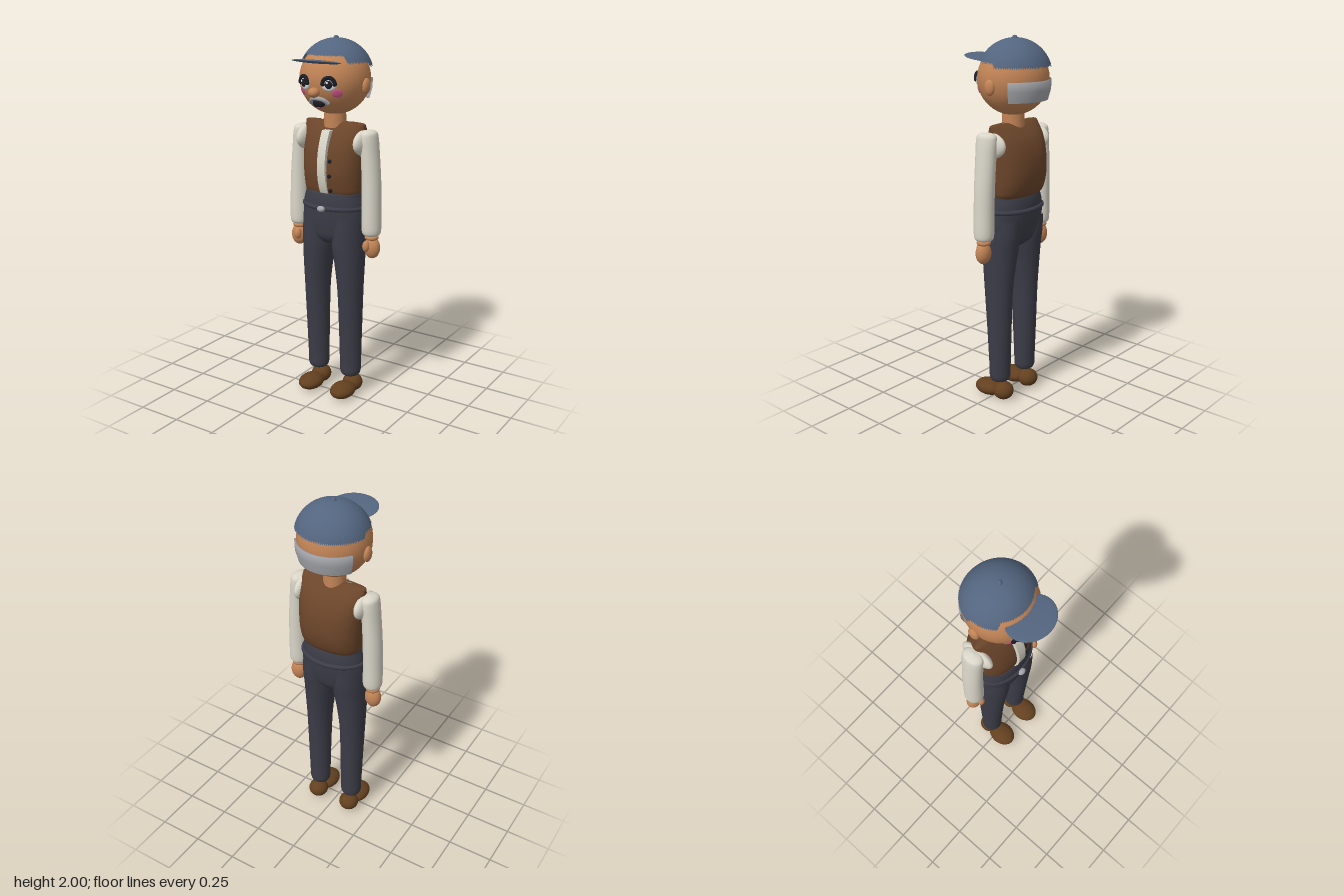
import * as THREE from 'three';

const mat = (name, color, side = THREE.FrontSide) => {
  const m = new THREE.MeshStandardMaterial({ color, side });
  m.name = name;
  return m;
};

export function createModel() {
  const M = {
    skin: mat('skin', 0xc28456),
    cap: mat('cap blue', 0x53657f, THREE.DoubleSide),
    shirt: mat('shirt cream', 0xd9d5c8),
    vest: mat('vest brown', 0x6b452a),
    pants: mat('trouser charcoal', 0x3c3c48),
    shoe: mat('shoe brown', 0x63401f),
    grey: mat('grey', 0xa3a5aa, THREE.DoubleSide),
    pink: mat('pink', 0xd0568c),
    black: mat('black', 0x1b1d24),
    white: mat('eye white', 0xeceef0),
  };
  const root = new THREE.Group();
  root.name = 'standingMan';

  const add = (name, geo, material, parent = root) => {
    const m = new THREE.Mesh(geo, material);
    m.name = name;
    parent.add(m);
    return m;
  };
  const ball = (name, material, [x, y, z], [rx, ry, rz], parent = root) => {
    const m = add(name, new THREE.SphereGeometry(1, 32, 20), material, parent);
    m.position.set(x, y, z);
    m.scale.set(rx, ry, rz);
    return m;
  };

  // Smooth loft through levels [y, centreX, centreZ, radiusX, radiusZ], bottom to top
  const loft = (levels, power = 2, seg = 40, steps = 4) => {
    const mid = new THREE.CatmullRomCurve3(levels.map(l => new THREE.Vector3(l[1], l[0], l[2])), false, 'catmullrom');
    const rad = new THREE.CatmullRomCurve3(levels.map(l => new THREE.Vector3(l[3], 0, l[4])), false, 'catmullrom');
    const n = (levels.length - 1) * steps, pos = [], idx = [];
    const pw = v => Math.sign(v) * Math.abs(v) ** (2 / power);
    for (let j = 0; j <= n; j++) {
      const c = mid.getPoint(j / n), r = rad.getPoint(j / n);
      for (let i = 0; i < seg; i++) {
        const a = (i / seg) * Math.PI * 2;
        pos.push(c.x + Math.max(r.x, 0.0005) * pw(Math.cos(a)), c.y, c.z + Math.max(r.z, 0.0005) * pw(Math.sin(a)));
        if (j < n) {
          const p = j * seg + i, q = j * seg + (i + 1) % seg;
          idx.push(p, p + seg, q, q, p + seg, q + seg);
        }
      }
    }
    const g = new THREE.BufferGeometry();
    g.setAttribute('position', new THREE.Float32BufferAttribute(pos, 3));
    g.setIndex(idx);
    g.computeVertexNormals();
    return g;
  };

  // Head, neck and ears
  const HC = new THREE.Vector3(0, 1.78, -0.045), HR = 0.188;
  ball('head', M.skin, HC.toArray(), [HR, HR, HR]);
  const neck = add('neck', new THREE.CylinderGeometry(0.057, 0.06, 0.12, 32), M.skin);
  neck.position.set(0, 1.585, -0.045);
  ball('nose', M.skin, [0, 1.725, 0.155], [0.03, 0.026, 0.03]);

  // A group lying on the face, its +z pointing straight out of the head
  const onFace = (name, x, y) => {
    const g = new THREE.Group();
    const dx = x - HC.x, dy = y - HC.y;
    g.name = name;
    g.position.set(x, y, HC.z + Math.sqrt(HR * HR - dx * dx - dy * dy));
    g.lookAt(g.position.clone().multiplyScalar(2).sub(HC));
    root.add(g);
    return g;
  };

  for (const s of [1, -1]) {
    const side = s > 0 ? 'left' : 'right';
    ball(side + 'Ear', M.skin, [s * 0.188, 1.75, -0.047], [0.019, 0.041, 0.031]);

    // Eye with heavy dark lid
    const eye = onFace(side + 'Eye', s * 0.073, 1.772);
    ball('eyeball', M.white, [0, -0.002, 0], [0.041, 0.036, 0.011], eye);
    ball('pupil', M.black, [0, -0.004, 0.008], [0.02, 0.021, 0.008], eye);
    ball('glint', M.white, [-0.007, 0.006, 0.016], [0.006, 0.006, 0.003], eye);
    const lid = add('lid', new THREE.TorusGeometry(0.031, 0.011, 12, 32, Math.PI), M.black, eye);
    lid.position.set(0, -0.001, 0.006);
    for (const e of [1, -1]) ball('lidEnd', M.black, [e * 0.031, -0.001, 0.006], [0.012, 0.012, 0.011], eye);

    const cheek = onFace(side + 'Cheek', s * 0.106, 1.722);
    ball('blush', M.pink, [0, 0, 0], [0.026, 0.022, 0.004], cheek);
  }

  // Mouth and moustache
  ball('mouth', M.black, [0, 1.668, 0.108], [0.036, 0.026, 0.022]);
  ball('lowerLip', M.pink, [0, 1.648, 0.104], [0.024, 0.01, 0.018]);
  const arch = new THREE.CatmullRomCurve3([[-0.052, 1.668, 0.104], [-0.035, 1.686, 0.122], [0, 1.694, 0.136],
    [0.035, 1.686, 0.122], [0.052, 1.668, 0.104]].map(p => new THREE.Vector3(...p)));
  add('moustache', new THREE.TubeGeometry(arch, 28, 0.011, 12), M.grey);
  for (const s of [1, -1]) ball('moustacheTip', M.grey, [s * 0.052, 1.668, 0.104], [0.011, 0.011, 0.011]);

  // Hair band round the back of the head
  const band = [[0.18, -0.105], [0.167, -0.105], [0.172, 0], [0.197, 0], [0.195, -0.05], [0.18, -0.105]];
  const hair = add('hairBand', new THREE.LatheGeometry(band.map(p => new THREE.Vector2(...p)), 40, Math.PI - 1.02, 2.04), M.grey);
  hair.position.copy(HC);

  // Cap dome with a stepped rim: high at the brow, low at the back
  const dome = new THREE.SphereGeometry(1, 128, 20);
  const p = dome.attributes.position, nrm = dome.attributes.normal, uv = dome.attributes.uv;
  const [rx, ry, rz, cy] = [0.199, 0.191, 0.19, 1.797];
  const nv = new THREE.Vector3();
  for (let i = 0; i < p.count; i++) {
    const a = uv.getX(i) * Math.PI * 2, x = -Math.cos(a), z = Math.sin(a);
    const turn = Math.abs(Math.atan2(x, z));
    const rim = 1.902 - 0.038 * THREE.MathUtils.smoothstep(turn, 0.76, 0.9) - 0.022 * THREE.MathUtils.smoothstep(turn, 1.6, 1.72);
    const polar = (1 - uv.getY(i)) * Math.acos((rim - cy) / ry);
    const sn = Math.sin(polar), cs = Math.cos(polar);
    p.setXYZ(i, x * sn * rx, cs * ry, z * sn * rz);
    nv.set(x * sn / rx, cs / ry, z * sn / rz).normalize();
    nrm.setXYZ(i, nv.x, nv.y, nv.z);
  }
  add('capDome', dome, M.cap).position.set(0, cy, -0.055);
  ball('capButton', M.cap, [0, 1.986, -0.053], [0.014, 0.014, 0.014]);
  ball('capVisor', M.cap, [0, 1.878, 0.132], [0.13, 0.009, 0.116]).rotation.x = -0.14;

  // Vest: levels given as [y, halfWidth, front z, back z]
  const body = rows => rows.map(([y, w, f, b]) => [y, 0, (f + b) / 2, w, (f - b) / 2]);
  add('vest', loft(body([
    [1.16, 0.10, 0.02, -0.12], [1.175, 0.16, 0.055, -0.16], [1.22, 0.173, 0.07, -0.185], [1.3, 0.178, 0.079, -0.198],
    [1.4, 0.182, 0.066, -0.187], [1.48, 0.185, 0.036, -0.153], [1.535, 0.184, -0.002, -0.1],
    [1.555, 0.175, -0.025, -0.068], [1.557, 0.1, -0.04, -0.05],
  ]), 2.5, 56), M.vest);

  // Shirt front: curved strip down the chest
  const strip = new THREE.Shape();
  strip.moveTo(0.0, 1.515);
  strip.lineTo(0.045, 1.515);
  strip.bezierCurveTo(0.1, 1.42, 0.115, 1.28, 0.062, 1.175);
  strip.lineTo(0.0, 1.175);
  strip.closePath();
  const stripGeo = new THREE.ExtrudeGeometry(strip, { depth: 0.048, bevelEnabled: false, curveSegments: 20 });
  stripGeo.rotateY(-Math.PI / 2);
  add('shirtFront', stripGeo, M.shirt).position.x = 0.024;

  for (const [y, z] of [[1.36, 0.074], [1.28, 0.079], [1.2, 0.066]])
    ball('vestButton', M.black, [0.042, y, z], [0.011, 0.011, 0.009]);

  // Trousers: hips and waist
  add('trouserHips', loft(body([
    [0.88, 0.01, -0.03, -0.05], [0.89, 0.06, 0.02, -0.1], [0.93, 0.15, 0.058, -0.14], [0.99, 0.183, 0.071, -0.158],
    [1.06, 0.185, 0.078, -0.168], [1.12, 0.18, 0.078, -0.17], [1.165, 0.168, 0.072, -0.163],
    [1.185, 0.155, 0.058, -0.148], [1.187, 0.05, 0, -0.09],
  ]), 2.2, 56), M.pants);

  // Belt and buckle
  const loop = Array.from({ length: 32 }, (_, i) => {
    const a = (i / 32) * Math.PI * 2;
    return new THREE.Vector3(0.18 * Math.cos(a), 1.1, -0.048 + 0.127 * Math.sin(a));
  });
  add('belt', new THREE.TubeGeometry(new THREE.CatmullRomCurve3(loop, true), 96, 0.013, 12, true), M.pants);
  ball('buckle', M.grey, [0, 1.1, 0.094], [0.023, 0.017, 0.017]);

  for (const s of [1, -1]) {
    const side = s > 0 ? 'left' : 'right';

    // Leg
    add(side + 'Leg', loft([
      [0.108, 0.107, -0.043, 0.002, 0.002], [0.112, 0.107, -0.043, 0.04, 0.04], [0.135, 0.107, -0.043, 0.058, 0.056],
      [0.2, 0.107, -0.043, 0.061, 0.058], [0.4, 0.108, -0.04, 0.064, 0.068], [0.62, 0.108, -0.036, 0.069, 0.08],
      [0.78, 0.102, -0.036, 0.08, 0.094], [0.88, 0.095, -0.038, 0.089, 0.104], [0.96, 0.094, -0.043, 0.09, 0.111],
      [1.05, 0.092, -0.045, 0.088, 0.113],
    ].map(l => [l[0], s * l[1], ...l.slice(2)])), M.pants);

    // Shoe: long toe and round heel
    ball(side + 'ShoeToe', M.shoe, [s * 0.107, 0.044, 0.037], [0.067, 0.043, 0.086]);
    ball(side + 'ShoeHeel', M.shoe, [s * 0.107, 0.052, -0.068], [0.057, 0.05, 0.057]);

    // Sleeve and the shirt showing at the armhole
    add(side + 'Sleeve', loft([
      [0.958, 0.233, -0.043, 0.03, 0.03], [0.965, 0.233, -0.043, 0.045, 0.047], [0.995, 0.233, -0.043, 0.052, 0.055],
      [1.1, 0.232, -0.043, 0.051, 0.056], [1.25, 0.228, -0.045, 0.05, 0.057], [1.4, 0.218, -0.046, 0.047, 0.059],
      [1.48, 0.211, -0.046, 0.045, 0.061], [1.515, 0.209, -0.046, 0.036, 0.05], [1.527, 0.207, -0.046, 0.002, 0.002],
    ].map(l => [l[0], s * l[1], ...l.slice(2)])), M.shirt);
    ball(side + 'ShirtShoulder', M.shirt, [s * 0.178, 1.455, -0.046], [0.035, 0.068, 0.096]);

    // Wrist and hand
    const wrist = add(side + 'Wrist', new THREE.TorusGeometry(0.026, 0.012, 12, 32), M.skin);
    wrist.rotation.x = Math.PI / 2;
    wrist.position.set(s * 0.235, 0.947, -0.043);
    ball(side + 'Hand', M.skin, [s * 0.238, 0.89, -0.043], [0.046, 0.06, 0.038]);
    ball(side + 'Thumb', M.skin, [s * 0.222, 0.903, -0.006], [0.02, 0.031, 0.02]);
  }
  return root;
}
